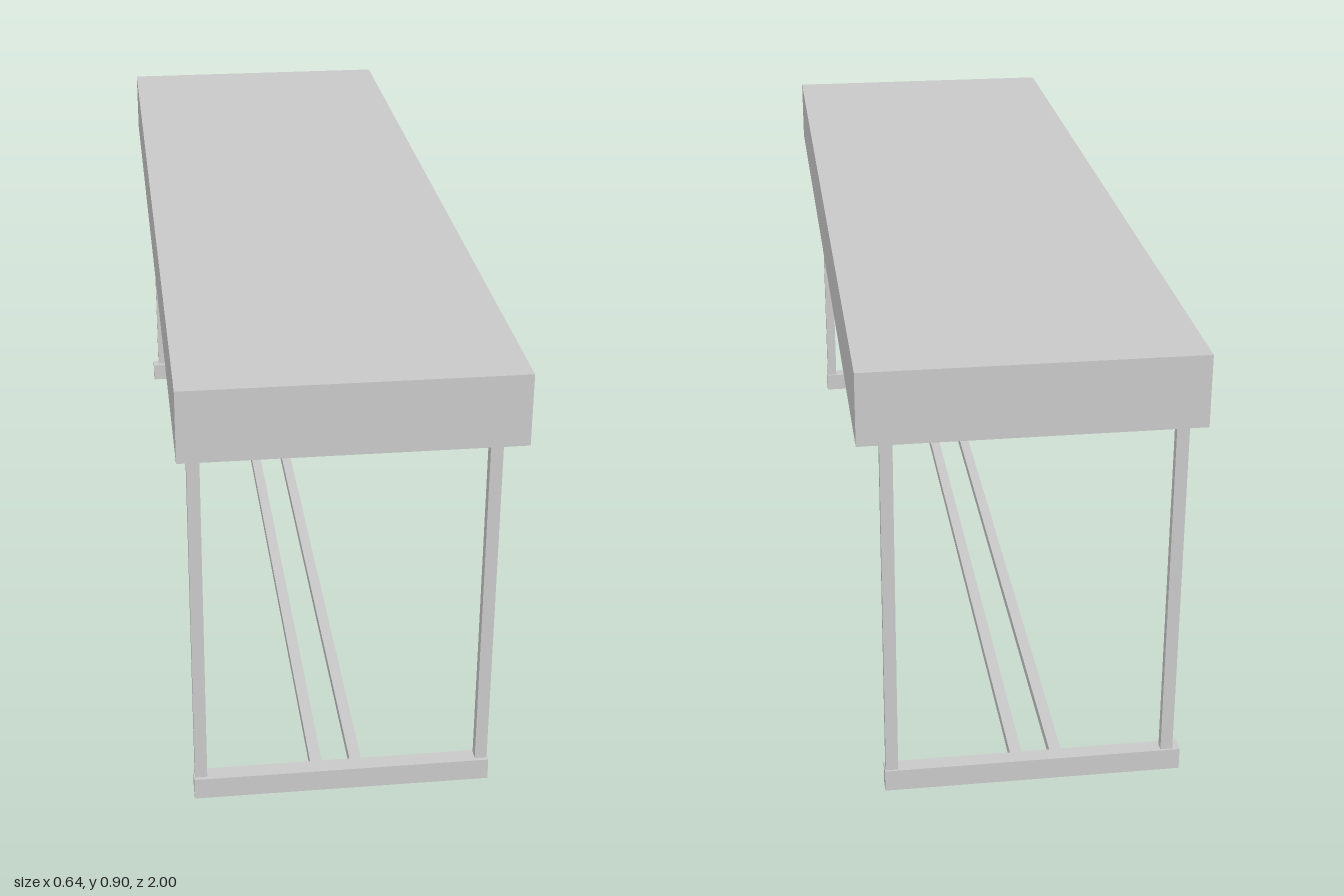
import * as THREE from 'three';

export function createModel() {
  const model = new THREE.Group();
  const material = new THREE.MeshStandardMaterial({ color: 0xcccccc, flatShading: true });

  // Box given by its extents on each axis
  const slab = (name, [x0, x1], [y0, y1], [z0, z1]) => {
    const mesh = new THREE.Mesh(new THREE.BoxGeometry(x1 - x0, y1 - y0, z1 - z0), material);
    mesh.position.set((x0 + x1) / 2, (y0 + y1) / 2, (z0 + z1) / 2);
    mesh.name = name;
    model.add(mesh);
  };

  const baseTop = 0.045, topBottom = 0.757;

  // Thick table top
  slab('tableTop', [-0.322, 0.322], [topBottom, 0.9], [-1, 1]);

  // End frames: a foot rail on the floor carrying two slim legs
  const frames = [
    { end: 'front', foot: [0.948, 0.982], leg: [0.953, 0.974], rightLeg: [-0.303, -0.279] },
    { end: 'back', foot: [-0.985, -0.953], leg: [-0.981, -0.964], rightLeg: [-0.291, -0.267] },
  ];
  for (const { end, foot, leg, rightLeg } of frames) {
    slab(`${end}FootRail`, [-0.305, 0.281], [0, baseTop], foot);
    slab(`${end}RightLeg`, rightLeg, [baseTop, topBottom], leg);
    slab(`${end}LeftLeg`, [0.255, 0.279], [baseTop, topBottom], leg);
  }

  // Two parallel stretchers joining the foot rails
  slab('rightStretcher', [-0.072, -0.049], [0.022, 0.042], [-0.953, 0.948]);
  slab('leftStretcher', [0.007, 0.03], [0.022, 0.042], [-0.953, 0.948]);

  return model;
}
